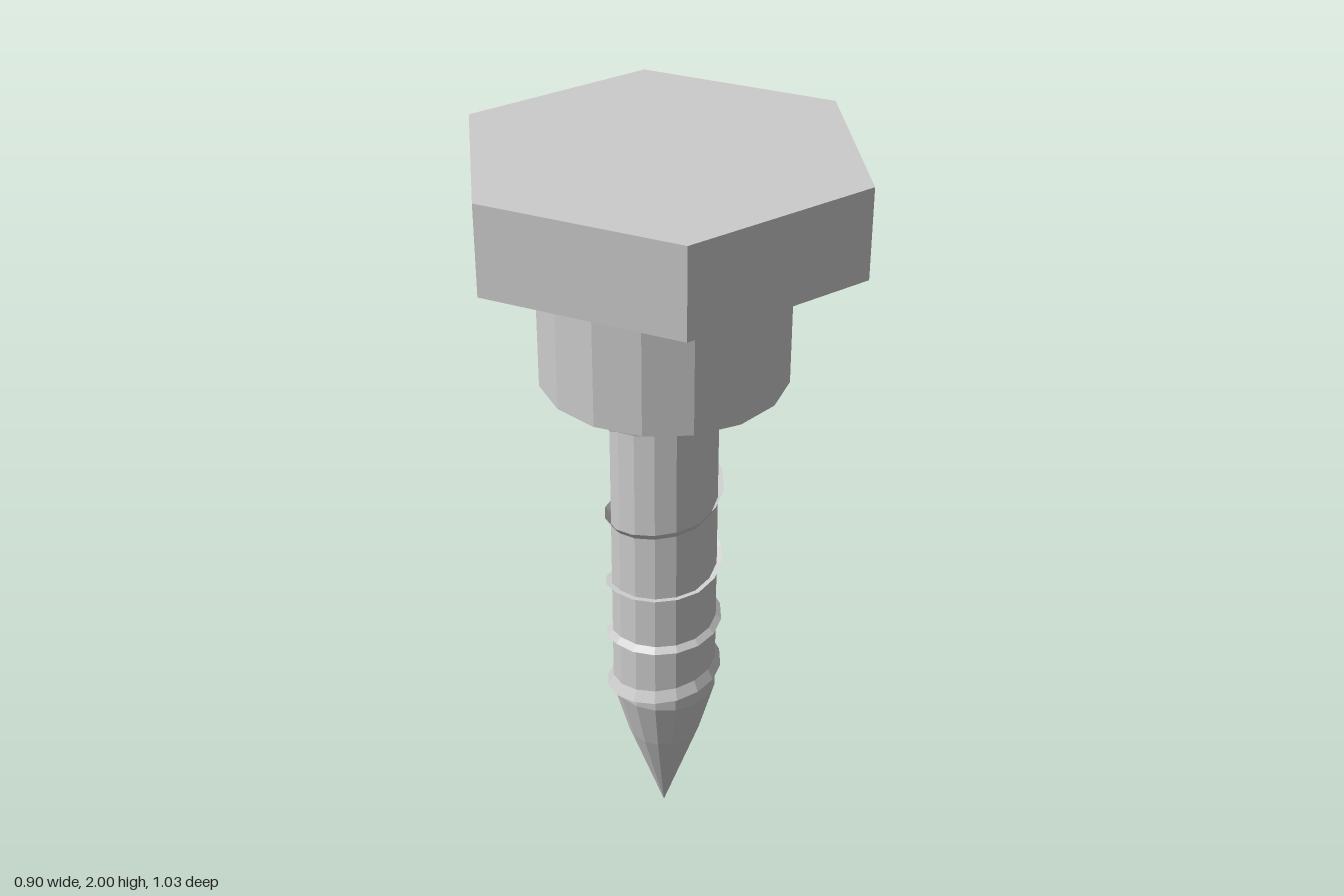
import * as THREE from 'three';

const SIDES = 16;
const SHAFT_R = 0.141;
const THREAD_R = 0.156;

export function createModel() {
  const group = new THREE.Group();
  group.name = 'lagScrew';
  const steel = new THREE.MeshStandardMaterial({ color: 0xcccccc, flatShading: true });
  const thin = steel.clone();
  thin.side = THREE.DoubleSide;

  const add = (name, geometry, material = steel) => {
    const mesh = new THREE.Mesh(geometry, material);
    mesh.name = name;
    group.add(mesh);
  };
  const prism = (radius, bottom, top, sides) =>
    new THREE.CylinderGeometry(radius, radius, top - bottom, sides).translate(0, (top + bottom) / 2, 0);

  // Hexagonal head with corners on the z axis, and the round collar below it
  add('hexHead', prism(0.517, 1.77, 2, 6));
  add('collar', prism(0.315, 1.41, 1.77, SIDES));

  // Shaft running down into a slightly convex point
  const profile = [[0, 0], [0.099, 0.285], [SHAFT_R, 0.44], [SHAFT_R, 1.41]];
  add('shaftAndTip', new THREE.LatheGeometry(profile.map(([r, y]) => new THREE.Vector2(r, y)), SIDES));

  // Thread: a thin helical fin with widening pitch
  add('thread', threadGeometry(), thin);
  return group;
}

// Outer edge heights are given per quarter turn, starting at -x and going by the front;
// the inner edge is the outer one scaled towards the middle of the thread.
function threadGeometry() {
  const heights = [
    0.42, 0.455, 0.495, 0.525, 0.57, 0.63, 0.65, 0.68, 0.74, 0.8, 0.825,
    0.88, 0.98, 1.0, 1.04, 1.12, 1.21, 1.335, 1.385, 1.41,
  ];
  const perQuarter = SIDES / 4;
  const middle = 0.8;
  const shrink = SHAFT_R / THREAD_R;
  const positions = [];
  const index = [];
  const steps = (heights.length - 1) * perQuarter;
  for (let i = 0; i <= steps; i++) {
    const q = Math.min(Math.floor(i / perQuarter), heights.length - 2);
    const y = THREE.MathUtils.lerp(heights[q], heights[q + 1], i / perQuarter - q);
    const a = -Math.PI / 2 + (i / SIDES) * Math.PI * 2;
    const s = Math.sin(a), c = Math.cos(a);
    positions.push(s * SHAFT_R, middle + (y - middle) * shrink, c * SHAFT_R);
    positions.push(s * THREAD_R, y, c * THREAD_R);
    if (i < steps) {
      const k = i * 2;
      index.push(k, k + 1, k + 3, k, k + 3, k + 2);
    }
  }
  const geometry = new THREE.BufferGeometry();
  geometry.setAttribute('position', new THREE.Float32BufferAttribute(positions, 3));
  geometry.setIndex(index);
  geometry.computeVertexNormals();
  return geometry;
}
